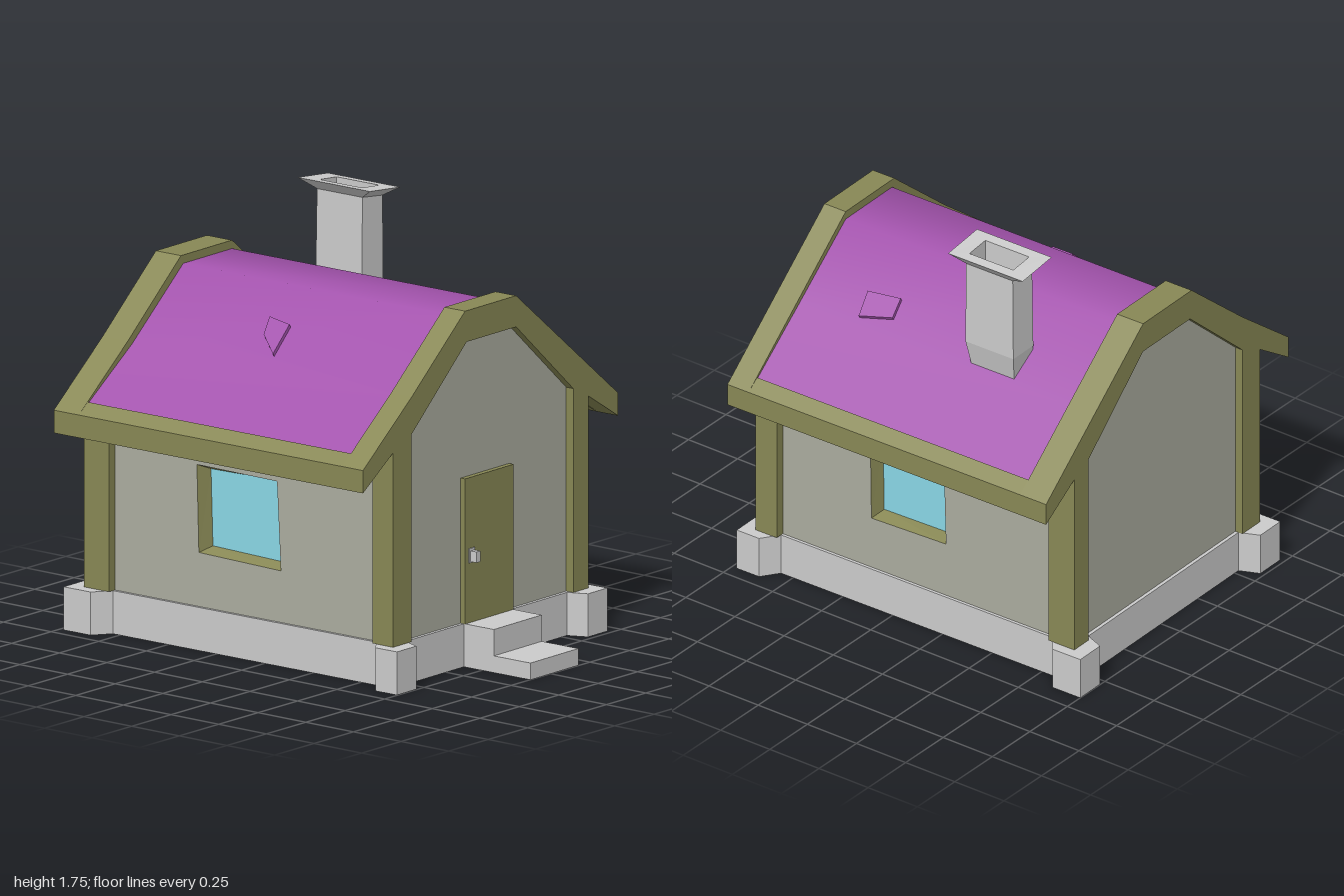
import * as THREE from 'three';

const mat = (color, flat = true) =>
  new THREE.MeshStandardMaterial({ color, flatShading: flat, side: THREE.DoubleSide });
const timber = mat(0x888855), plaster = mat(0xabac9f), stone = mat(0xcccccc);
const glass = mat(0x8ad7e6), tiles = mat(0xa353ad, false), tileFlat = mat(0xa353ad);

const mesh = (name, geometry, material) => {
  const m = new THREE.Mesh(geometry, material);
  m.name = name;
  return m;
};
const shapeOf = pts => new THREE.Shape(pts.map(p => new THREE.Vector2(p[0], p[1])));

// Skin over a list of equal-length rings of [x, y, z] points
function loft(rings, closed = true) {
  const n = rings[0].length, index = [];
  for (let r = 0; r + 1 < rings.length; r++) {
    for (let i = 0; i < (closed ? n : n - 1); i++) {
      const a = r * n + i, b = r * n + (i + 1) % n;
      index.push(a, b, b + n, a, b + n, a + n);
    }
  }
  const g = new THREE.BufferGeometry();
  g.setAttribute('position', new THREE.Float32BufferAttribute(rings.flat(2), 3));
  g.setIndex(index);
  g.computeVertexNormals();
  return g;
}

// Profile of [z, y] points pushed along x from x0 to x1
function extrudeX(pts, x0, x1) {
  const g = new THREE.ExtrudeGeometry(shapeOf(pts.map(([z, y]) => [-z, y])),
    { depth: x1 - x0, bevelEnabled: false });
  return g.rotateY(Math.PI / 2).translate(x0, 0, 0);
}

function box(name, x0, x1, y0, y1, z0, z1, material) {
  const g = new THREE.BoxGeometry(x1 - x0, y1 - y0, z1 - z0);
  return mesh(name, g.translate((x0 + x1) / 2, (y0 + y1) / 2, (z0 + z1) / 2), material);
}

const BASE = 0.18, MID = -0.125, HALF = 0.765, WALL_Z = 0.592;

// [z, y] profiles: roof top edge, roof underside, coloured roof surface
const outer = [[0.825, 0.955], [0.51, 1.2], [0.165, 1.49], [-0.165, 1.49], [-0.825, 0.955]];
const inner = [[-0.535, 1.03], [-0.165, 1.36], [0.155, 1.36], [0.51, 1.045]];
const skin = [[0.768, 0.99], [0.48, 1.185], [0.15, 1.455], [-0.165, 1.455], [-0.48, 1.21], [-0.768, 0.99]];

function roofY(z) {
  const i = skin.findIndex((p, k) => k > 0 && z >= p[0]);
  const [z0, y0] = skin[i - 1], [z1, y1] = skin[i];
  return y0 + (y1 - y0) * (z0 - z) / (z0 - z1);
}

// Long wall with a slightly crooked window, recessed from rim to pane
function longWall(name, rim, pane) {
  const g = new THREE.Group();
  g.name = name;
  const wall = shapeOf([[-HALF, BASE], [HALF, BASE], [HALF, 1.01], [-HALF, 1.01]]);
  wall.holes.push(shapeOf(rim));
  const at = (pts, z) => pts.map(([x, y]) => [x, y, z]);
  g.add(mesh('wallPanel', new THREE.ShapeGeometry(wall).translate(0, 0, WALL_Z), plaster));
  g.add(mesh('windowFrame', loft([at(rim, WALL_Z), at(pane, WALL_Z - 0.06)]), timber));
  g.add(mesh('windowPane', new THREE.ShapeGeometry(shapeOf(pane)).translate(0, 0, WALL_Z - 0.06), glass));
  g.position.x = MID;
  return g;
}

// Loose tile lying on the roof, given by [x, z] corners
function looseTile(corners, side) {
  const ring = (h, out) => corners.map(([x, z]) => [x, roofY(z) + h, z + out * side]);
  const top = ring(0.008, 0.014);
  const centre = [0, 1, 2].map(k => top.reduce((s, p) => s + p[k], 0) / top.length);
  return mesh('looseTile', loft([ring(-0.015, 0), top, top.map(() => centre)]), tileFlat);
}

function foundation() {
  const g = new THREE.Group();
  g.name = 'foundation';
  // Outline of the front half with flared corner blocks, mirrored to the back
  const half = [[0.655, 0.52], [0.737, 0.555], [0.737, 0.68], [0.625, 0.68], [0.57, 0.605],
    [-0.795, 0.605], [-0.85, 0.68], [-0.99, 0.68], [-0.99, 0.545], [-0.905, 0.51]];
  const outline = [...half, ...half.map(([x, z]) => [x, -z]).reverse()];
  const ring = y => outline.map(([x, z]) => [x, y, z]);
  g.add(mesh('foundationSides', loft([ring(0), ring(BASE)]), stone));
  const ledge = shapeOf(outline);
  const x0 = MID - HALF, x1 = MID + HALF;
  ledge.holes.push(shapeOf([[x0, -WALL_Z], [x1, -WALL_Z], [x1, WALL_Z], [x0, WALL_Z]]));
  g.add(mesh('foundationLedge', new THREE.ShapeGeometry(ledge).rotateX(Math.PI / 2).translate(0, BASE, 0), stone));
  return g;
}

// Two hollow steps in front of the door
function steps() {
  const g = new THREE.Group();
  g.name = 'steps';
  const path = [[0.65, BASE], [0.81, BASE], [0.81, 0.07], [1, 0.07], [1, 0]];
  const z0 = -0.165, z1 = 0.145;
  g.add(mesh('treads', loft([z0, z1].map(z => path.map(([x, y]) => [x, y, z])), false), stone));
  for (const z of [z0, z1]) {
    g.add(mesh('stepSide', new THREE.ShapeGeometry(shapeOf([...path, [0.65, 0]])).translate(0, 0, z), stone));
  }
  return g;
}

function chimney() {
  // Rings: x0, x1, z0, z1, y, tilt of y towards the front
  const rings = [
    [-0.49, -0.29, -0.45, -0.35, 1.15, 0], [-0.51, -0.27, -0.486, -0.35, 1.33, 0],
    [-0.507, -0.272, -0.486, -0.355, 1.705, 0.008], [-0.58, -0.205, -0.517, -0.32, 1.745, 0.01],
    [-0.5, -0.28, -0.473, -0.365, 1.745, 0.005], [-0.5, -0.28, -0.473, -0.365, 1.6, 0],
    [-0.39, -0.39, -0.42, -0.42, 1.6, 0]
  ].map(([a, b, c, d, y, t]) => [[a, y - t, c], [b, y - t, c], [b, y + t, d], [a, y + t, d]]);
  return mesh('chimney', loft(rings), stone);
}

function roof() {
  const g = new THREE.Group();
  g.name = 'roof';
  // Gable frames: roof trim and corner posts in one outline
  const frame = [...outer, [-0.825, 0.86], [-0.633, 0.98], [-0.633, BASE], [-0.535, BASE],
    ...inner, [0.51, BASE], [0.63, BASE], [0.63, 0.99], [0.825, 0.86]];
  g.add(mesh('gableFrame', extrudeX(frame, -0.925, -0.795), timber));
  g.add(mesh('gableFrame', extrudeX(frame, 0.57, 0.677), timber));
  // Eave beams
  for (const s of [1, -1]) {
    const beam = [[0.825, 0.955], [0.768, 0.998], [0.755, 0.9], [0.825, 0.86]].map(([z, y]) => [z * s, y]);
    g.add(mesh('eaveBeam', extrudeX(beam, -0.795, 0.57), timber));
  }
  // Recessed roof surface and its underside
  const sheet = pts => loft([-0.8, 0.575].map(x => pts.map(([z, y]) => [x, y, z])), false);
  g.add(mesh('roofSurface', sheet(skin), tiles));
  g.add(mesh('roofUnderside', sheet([[-0.77, 0.895], ...inner, [0.77, 0.895]]), timber));
  g.add(looseTile([[-0.228, 0.285], [-0.113, 0.3], [-0.103, 0.42], [-0.203, 0.355]], 1));
  g.add(looseTile([[0.14, -0.415], [0.285, -0.448], [0.305, -0.36], [0.15, -0.345]], -1));
  return g;
}

export function createModel() {
  const model = new THREE.Group();
  model.name = 'cottage';
  const house = new THREE.Group();
  house.name = 'house';
  house.rotation.y = 0.0155; // slightly crooked on its plot
  model.add(house);

  house.add(foundation(), steps(), roof(), chimney());

  house.add(longWall('frontWall',
    [[-0.245, 0.77], [0.17, 0.765], [0.19, 0.395], [-0.235, 0.405]],
    [[-0.22, 0.745], [0.15, 0.75], [0.16, 0.415], [-0.21, 0.425]]));
  const back = longWall('backWall',
    [[-0.255, 0.755], [0.115, 0.76], [0.125, 0.42], [-0.25, 0.41]],
    [[-0.235, 0.735], [0.1, 0.74], [0.105, 0.435], [-0.23, 0.43]]);
  back.rotation.y = Math.PI;
  house.add(back);

  // Gable walls
  const gable = [[-WALL_Z, BASE], [-WALL_Z, 1.0], ...inner, [WALL_Z, 1.0], [WALL_Z, BASE]];
  for (const x of [MID - HALF, MID + HALF]) {
    const g = new THREE.ShapeGeometry(shapeOf(gable.map(([z, y]) => [-z, y])));
    house.add(mesh('gableWall', g.rotateY(Math.PI / 2).translate(x, 0, 0), plaster));
  }

  // Door and handle
  house.add(box('door', 0.625, 0.663, BASE, 0.785, -0.167, 0.147, timber));
  house.add(box('doorHandlePlate', 0.658, 0.668, 0.43, 0.49, 0.09, 0.126, stone));
  house.add(box('doorHandle', 0.665, 0.698, 0.435, 0.48, 0.093, 0.118, stone));
  return model;
}
